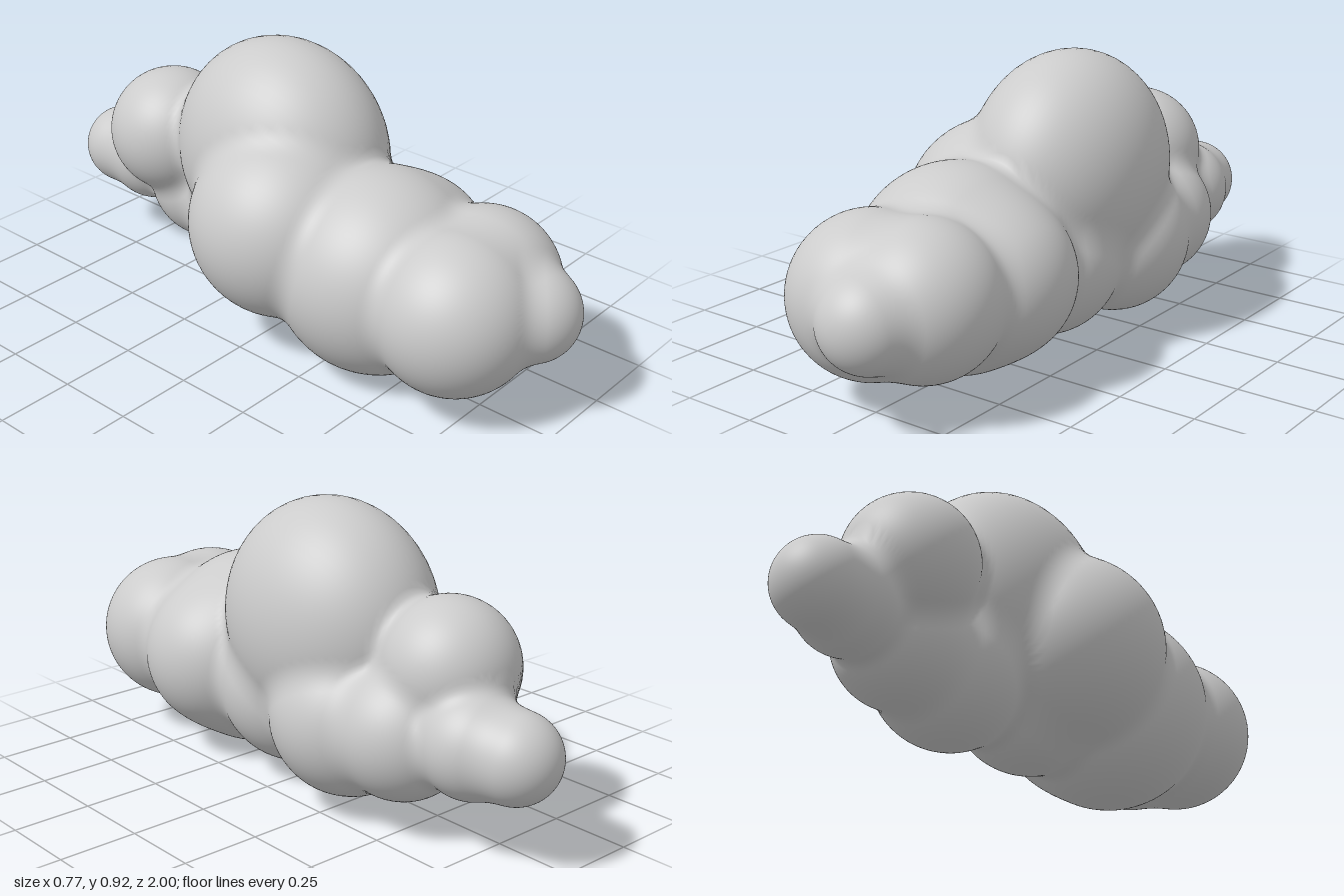
import * as THREE from 'three';

// Puffs of the cloud: centre x, y, z, then radius (and optional y/z stretch)
const puffs = [
  [0.08, 0.33, 0.85, 0.15],         // nose
  [-0.06, 0.325, 0.68, 0.25],       // front pair
  [0.11, 0.34, 0.66, 0.238],
  [-0.01, 0.325, 0.36, 0.323],      // wide collar
  [0.13, 0.33, 0.37, 0.25],
  [-0.09, 0.41, 0.05, 0.3],         // right side bulge
  [0.07, 0.3, 0.05, 0.255],
  [0.07, 0.55, -0.1, 0.292, 1.267], // crown
  [0.13, 0.295, -0.26, 0.25],       // left side and underside
  [0.13, 0.31, -0.48, 0.21],
  [0.03, 0.5, -0.56, 0.21],         // rear top
  [0.1, 0.335, -0.73, 0.163],       // tail
  [0.08, 0.33, -0.865, 0.135],
];
const BLEND = 0.04;

// Distance to one puff
function puffDistance([cx, cy, cz, r, stretch = 1], x, y, z) {
  const dx = x - cx, dy = y - cy, dz = z - cz;
  if (stretch === 1) return Math.hypot(dx, dy, dz) - r;
  const s = r * stretch;
  const k0 = Math.hypot(dx / r, dy / s, dz / s);
  const k1 = Math.hypot(dx / (r * r), dy / (s * s), dz / (s * s));
  return k1 < 1e-6 ? -r : k0 * (k0 - 1) / k1;
}

// Smooth union of all puffs
function cloudDistance(x, y, z) {
  let d = 10;
  for (const p of puffs) {
    const e = puffDistance(p, x, y, z);
    const h = Math.max(BLEND - Math.abs(d - e), 0) / BLEND;
    d = Math.min(d, e) - h * h * BLEND / 4;
  }
  return d;
}

// Cross-section rings along z, each shrunk inwards onto the smooth union
function cloudGeometry(rings, sides) {
  const axisX = 0.08, axisY = 0.33, e = 0.001;
  const positions = [], normals = [], index = [];
  const normal = new THREE.Vector3();
  for (let i = 0; i <= rings; i++) {
    const z = -Math.cos(Math.PI * i / rings);
    const pole = i === 0 || i === rings;
    for (let j = 0; j <= sides; j++) {
      const a = (j % sides) / sides * Math.PI * 2;
      const c = Math.cos(a), s = Math.sin(a);
      let r = pole ? 0 : 0.9;
      for (let n = 0; n < 100 && r > 0; n++) {
        const d = cloudDistance(axisX + r * c, axisY + r * s, z);
        if (d < 0.0001) break;
        r = Math.max(0, r - d * 0.95);
      }
      const x = axisX + r * c, y = axisY + r * s;
      positions.push(x, y, z);
      normal.set(
        cloudDistance(x + e, y, z) - cloudDistance(x - e, y, z),
        cloudDistance(x, y + e, z) - cloudDistance(x, y - e, z),
        cloudDistance(x, y, z + e) - cloudDistance(x, y, z - e)
      ).normalize();
      normals.push(normal.x, normal.y, normal.z);
      if (i < rings && j < sides) {
        const p = i * (sides + 1) + j, q = p + sides + 1;
        if (i > 0) index.push(p, p + 1, q);
        if (i < rings - 1) index.push(p + 1, q + 1, q);
        else index.push(p + 1, q, p);
      }
    }
  }
  // The last band closes to a point, so keep one triangle per side there
  const lastBand = index.length - sides * 6;
  index.length = lastBand;
  for (let j = 0; j < sides; j++) {
    const p = (rings - 1) * (sides + 1) + j;
    index.push(p, p + 1, p + sides + 1);
  }
  const geometry = new THREE.BufferGeometry();
  geometry.setAttribute('position', new THREE.Float32BufferAttribute(positions, 3));
  geometry.setAttribute('normal', new THREE.Float32BufferAttribute(normals, 3));
  geometry.setIndex(index);
  return geometry;
}

export function createModel() {
  const group = new THREE.Group();
  group.name = 'cloud';
  const body = new THREE.Mesh(
    cloudGeometry(260, 112),
    new THREE.MeshStandardMaterial({ color: 0xcccccc })
  );
  body.name = 'cloudBody';
  group.add(body);
  return group;
}
